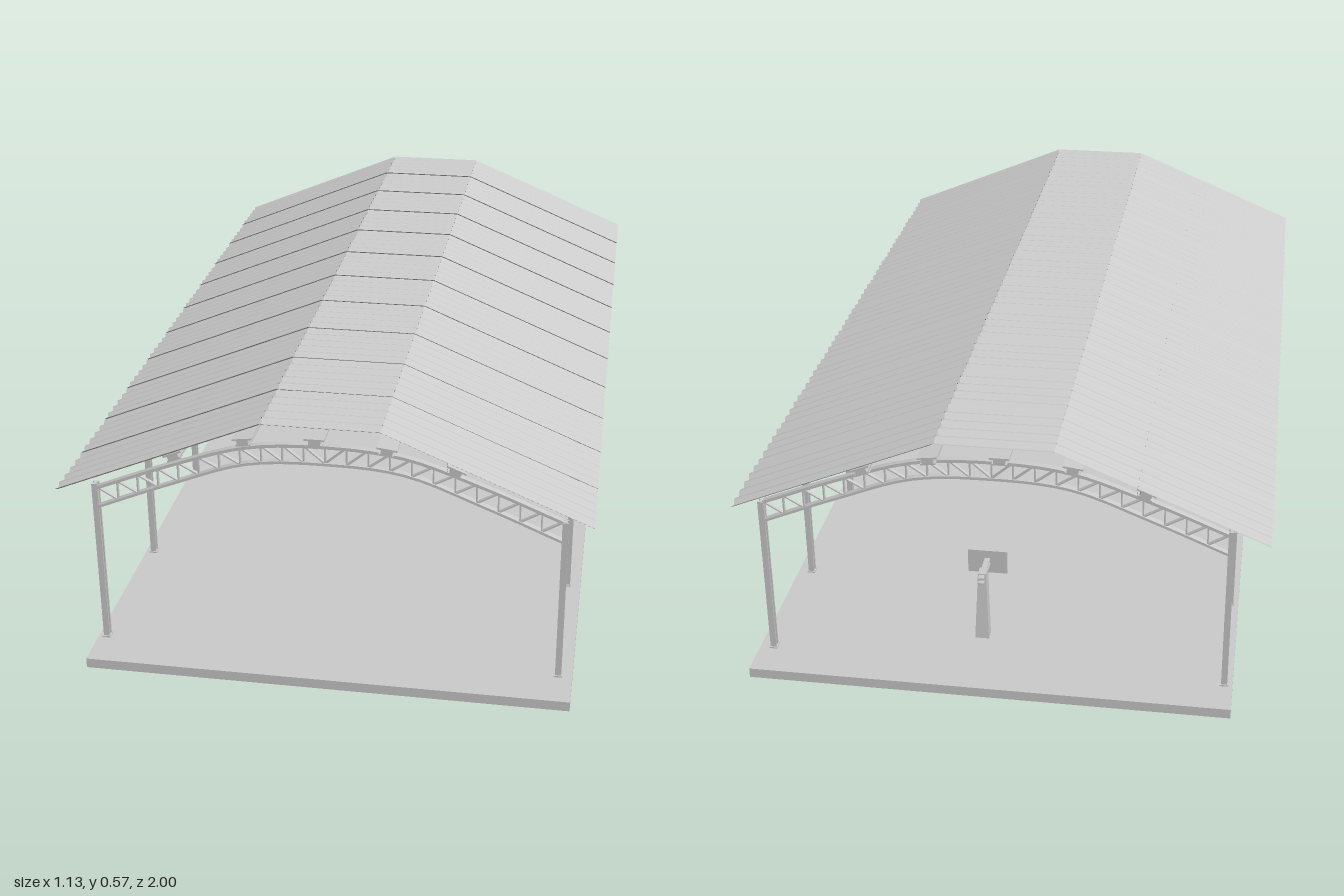
import * as THREE from 'three';

const grey = new THREE.MeshStandardMaterial({ color: 0xcccccc });
const greyThin = new THREE.MeshStandardMaterial({ color: 0xcccccc, side: THREE.DoubleSide });

function add(parent, name, geometry, x = 0, y = 0, z = 0, material = grey) {
  const mesh = new THREE.Mesh(geometry, material);
  mesh.name = name;
  mesh.position.set(x, y, z);
  parent.add(mesh);
  return mesh;
}

const box = (w, h, d) => new THREE.BoxGeometry(w, h, d);

// Square bar between two points
function bar(parent, name, a, b, w, d = w) {
  const mesh = add(parent, name, box(w, a.distanceTo(b), d));
  mesh.position.copy(a).add(b).multiplyScalar(0.5);
  mesh.quaternion.setFromUnitVectors(new THREE.Vector3(0, 1, 0), b.clone().sub(a).normalize());
  return mesh;
}

// Arched chord through symmetric heights, listed from the middle to the end
function chordCurve(heights) {
  const points = [];
  for (let i = -3; i <= 3; i++) {
    points.push(new THREE.Vector3(0.011 + 0.489 * i / 3, heights[Math.abs(i)], 0));
  }
  return new THREE.CatmullRomCurve3(points);
}

function chordGeometry(curve, thick, depth) {
  const pts = curve.getPoints(30);
  const shape = new THREE.Shape([
    ...pts.map(p => new THREE.Vector2(p.x, p.y - thick / 2)),
    ...pts.slice().reverse().map(p => new THREE.Vector2(p.x, p.y + thick / 2)),
  ]);
  return new THREE.ExtrudeGeometry(shape, { depth, bevelEnabled: false }).translate(0, 0, -depth / 2);
}

// Arched lattice truss
function createTruss() {
  const truss = new THREE.Group();
  truss.name = 'roofTruss';
  const top = chordCurve([0.524, 0.511, 0.457, 0.391]);
  const low = chordCurve([0.485, 0.473, 0.414, 0.346]);
  add(truss, 'topChord', chordGeometry(top, 0.007, 0.014));
  add(truss, 'bottomChord', chordGeometry(low, 0.006, 0.014));
  const panels = 22;
  for (let i = 0; i <= panels; i++) {
    const a = top.getPoint(i / panels), b = low.getPoint(i / panels);
    bar(truss, 'trussUpright', b, a, 0.003, 0.008);
    if (i < panels) {
      const left = i < panels / 2;
      const from = left ? a : b;
      const to = (left ? low : top).getPoint((i + 1) / panels);
      bar(truss, 'trussDiagonal', from, to, 0.003, 0.008);
    }
  }
  return truss;
}

// H-section post standing on a base plate
function createPost(height) {
  const post = new THREE.Group();
  post.name = 'post';
  for (const s of [-1, 1]) add(post, 'postFlange', box(0.013, height, 0.004), 0, height / 2, s * 0.006);
  add(post, 'postWeb', box(0.007, height, 0.012), 0, height / 2, 0);
  add(post, 'basePlate', box(0.018, 0.003, 0.022), 0, 0.0015, 0);
  return post;
}

// One corrugated panel from edge a to edge b; u runs across, v along z
function corrugatedPanel(a, b, z0, length, waves) {
  const g = new THREE.PlaneGeometry(1, 1, 1, waves * 8);
  const pos = g.attributes.position;
  const normal = new THREE.Vector2(a.y - b.y, b.x - a.x).normalize();
  for (let i = 0; i < pos.count; i++) {
    const u = pos.getX(i) + 0.5, v = 0.5 - pos.getY(i);
    const lift = 0.004 * Math.cos(v * waves * Math.PI * 2) + 0.003 * (v - 0.5);
    const p = a.clone().lerp(b, u);
    pos.setXYZ(i, p.x + normal.x * lift, p.y + normal.y * lift, z0 + v * length);
  }
  g.computeVertexNormals();
  return g;
}

// Roof of eleven lapped sheets, each folded into three slopes
function createRoof() {
  const roof = new THREE.Group();
  roof.name = 'corrugatedRoof';
  const profile = [[-0.564, 0.384], [-0.121, 0.569], [0.126, 0.569], [0.562, 0.387]]
    .map(p => new THREE.Vector2(...p));
  const sheets = 11, step = 1.866 / sheets;
  for (let s = 0; s < sheets; s++) {
    for (let i = 0; i < 3; i++) {
      const g = corrugatedPanel(profile[i], profile[i + 1], -0.942 + s * step, step + 0.002, 5);
      add(roof, 'roofSheet', g, 0, 0, 0, greyThin);
    }
  }
  return roof;
}

// Lengthwise purlin: wide cap, web and lower flange
function createPurlin(x, y, tilt) {
  const purlin = new THREE.Group();
  purlin.name = 'purlin';
  const length = 1.85;
  add(purlin, 'purlinCap', box(0.042, 0.004, length), 0, 0.007, 0);
  add(purlin, 'purlinWeb', box(0.024, 0.012, length), 0, 0, 0);
  add(purlin, 'purlinFoot', box(0.032, 0.003, length), 0, -0.006, 0);
  purlin.position.set(x, y, -0.008);
  purlin.rotation.z = tilt;
  return purlin;
}

// Basketball stand with tapered leaning pole, arm, board, ring and net
function createHoop() {
  const hoop = new THREE.Group();
  hoop.name = 'basketballStand';
  const pole = box(1, 1, 1).translate(0, 0.5, 0);
  const pos = pole.attributes.position;
  for (let i = 0; i < pos.count; i++) {
    const t = pos.getY(i);
    pos.setXYZ(i, pos.getX(i) * (0.031 - 0.013 * t), t * 0.158, pos.getZ(i) * 0.025 + 0.016 * t);
  }
  pole.computeVertexNormals();
  add(hoop, 'pole', pole, 0, 0.022, -0.808);
  for (const y of [0.163, 0.175]) add(hoop, 'arm', box(0.012, 0.005, 0.085), 0, y, -0.777);
  add(hoop, 'backboard', box(0.088, 0.056, 0.004), 0, 0.168, -0.734);
  add(hoop, 'ringBracket', box(0.014, 0.008, 0.01), 0, 0.158, -0.728);
  const ring = add(hoop, 'ring', new THREE.TorusGeometry(0.016, 0.0016, 6, 20), 0, 0.16, -0.709);
  ring.rotation.x = Math.PI / 2;
  // Net cords crossing downwards
  const cords = 8;
  for (let i = 0; i < cords; i++) {
    for (const s of [-1, 1]) {
      const at = (angle, r, y) => new THREE.Vector3(r * Math.cos(angle), y, -0.709 + r * Math.sin(angle));
      const a = i / cords * Math.PI * 2;
      bar(hoop, 'netCord', at(a, 0.016, 0.16), at(a + s * 0.75, 0.009, 0.132), 0.0008);
    }
  }
  hoop.position.x = 0.057;
  return hoop;
}

export function createModel() {
  const model = new THREE.Group();
  model.name = 'coveredCourt';
  add(model, 'floorSlab', box(1.034, 0.022, 2), 0.017, 0.011, 0);

  // Frames: two posts and a truss at each bay
  for (const z of [0.904, 0.541, 0.152, -0.246, -0.607, -0.911]) {
    const frame = new THREE.Group();
    frame.name = 'frame';
    for (const [x, height] of [[-0.482, 0.379], [0.504, 0.37]]) {
      const post = createPost(height);
      post.position.set(x, 0.022, 0);
      frame.add(post);
    }
    frame.add(createTruss());
    frame.position.z = z;
    model.add(frame);
  }

  const purlins = [[-0.306, 0.48, 0.38], [-0.158, 0.525, 0.12], [-0.009, 0.535, 0], [0.139, 0.525, -0.12], [0.279, 0.49, -0.38]];
  for (const p of purlins) model.add(createPurlin(...p));

  model.add(createRoof(), createHoop());
  return model;
}
